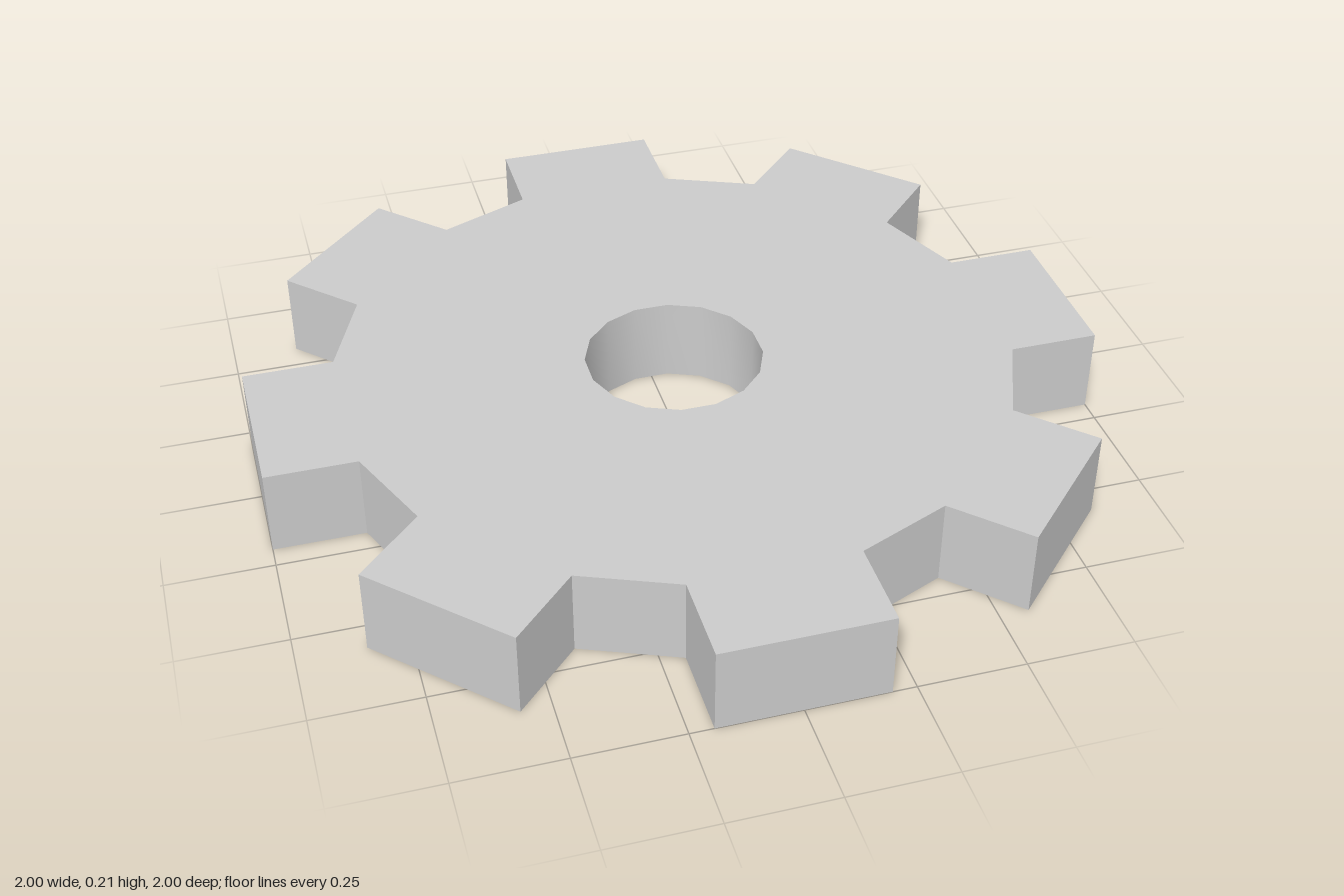
import * as THREE from 'three';
import { toCreasedNormals } from 'three/addons/utils/BufferGeometryUtils.js';

const TEETH = 8;
const TOOTH_HALF_WIDTH = 0.195;
const ROOT = 0.785;
const TIP = 1;
const THICKNESS = 0.21;
const BORE_RADIUS = 0.213;
const BORE_SIDES = 16;

export function createModel() {
  const group = new THREE.Group();
  group.name = 'gear';

  // Outline: one straight-sided tooth repeated around the centre
  const tooth = [
    [ROOT, -TOOTH_HALF_WIDTH],
    [TIP, -TOOTH_HALF_WIDTH],
    [TIP, TOOTH_HALF_WIDTH],
    [ROOT, TOOTH_HALF_WIDTH],
  ];
  const centre = new THREE.Vector2();
  const outline = [];
  for (let i = 0; i < TEETH; i++) {
    const angle = (i / TEETH) * Math.PI * 2;
    for (const [x, y] of tooth) {
      outline.push(new THREE.Vector2(x, y).rotateAround(centre, angle));
    }
  }
  const shape = new THREE.Shape(outline);

  // Axle bore, with flats facing the axes
  const bore = [];
  for (let i = 0; i < BORE_SIDES; i++) {
    const angle = -((i + 0.5) / BORE_SIDES) * Math.PI * 2;
    bore.push(new THREE.Vector2(Math.cos(angle), Math.sin(angle)).multiplyScalar(BORE_RADIUS));
  }
  shape.holes.push(new THREE.Path(bore));

  // Lay the plate flat; the crease angle smooths only the bore wall
  const plate = new THREE.ExtrudeGeometry(shape, { depth: THICKNESS, bevelEnabled: false });
  plate.rotateX(-Math.PI / 2);
  const mesh = new THREE.Mesh(
    toCreasedNormals(plate, 0.6),
    new THREE.MeshStandardMaterial({ color: 0xcccccc })
  );
  mesh.name = 'gearWheel';
  group.add(mesh);

  return group;
}
